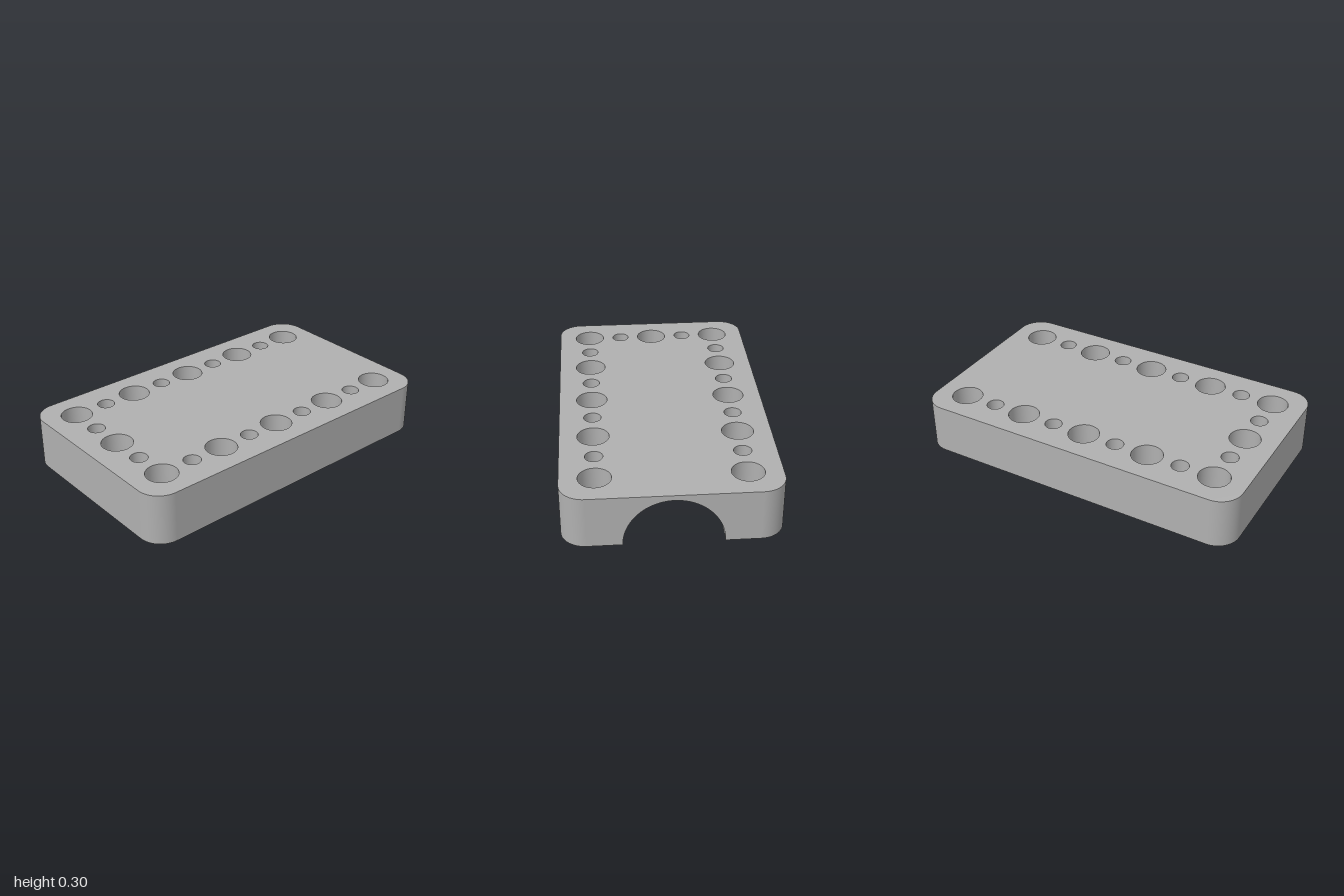
import * as THREE from 'three';

const W = 0.595, L = 1, H = 0.3;            // half width, half length, height
const CORNER = 0.135;                       // vertical corner radius
const CHANNEL_R = 0.27, CHANNEL_END = 0.665; // half-round channel underneath
const PITCH = 0.405, BIG = 0.09, SMALL = 0.05;

// Arc points [x, y, nx, ny]; side = 1 for outward normals, -1 for inward.
function arc(cx, cy, r, from, to, steps, side) {
  return Array.from({ length: steps + 1 }, (_, i) => {
    const t = from + (to - from) * i / steps, c = Math.cos(t), s = Math.sin(t);
    return [cx + r * c, cy + r * s, side * c, side * s];
  });
}

// Wall swept along +z from a path in the xy plane, with smooth normals.
function wall(path, depth) {
  const position = [], normal = [], index = [];
  path.forEach(([x, y, nx, ny], i) => {
    position.push(x, y, 0, x, y, depth);
    normal.push(nx, ny, 0, nx, ny, 0);
    if (i) {
      const a = 2 * i - 2, b = 2 * i;
      index.push(a, b, b + 1, a, b + 1, a + 1);
    }
  });
  const g = new THREE.BufferGeometry();
  g.setAttribute('position', new THREE.Float32BufferAttribute(position, 3));
  g.setAttribute('normal', new THREE.Float32BufferAttribute(normal, 3));
  g.setIndex(index);
  return g;
}

const toShape = (pts) => new THREE.Shape(pts.map(([x, y]) => new THREE.Vector2(x, y)));

export function createModel() {
  const model = new THREE.Group();
  const grey = new THREE.MeshStandardMaterial({ color: 0xb0b0b0 });
  grey.name = 'grey';
  const add = (name, geometry) => {
    const mesh = new THREE.Mesh(geometry, grey);
    mesh.name = name;
    model.add(mesh);
  };

  // Plan outline, drawn with the back at +y, open along the back edge
  const signs = [[-1, 1], [-1, -1], [1, -1], [1, 1]];
  const outline = signs.flatMap(([sx, sy], i) => arc(
    sx * (W - CORNER), sy * (L - CORNER), CORNER,
    (i + 1) * Math.PI / 2, (i + 2) * Math.PI / 2, 16, 1));

  // Holes alternate large and small along both sides and the front
  const holes = [];
  for (let i = 0; i <= 8; i++) {
    const y = (i - 4) * PITCH / 2, r = i % 2 ? SMALL : BIG;
    holes.push([-PITCH, y, r], [PITCH, y, r]);
  }
  for (let i = -1; i <= 1; i++) holes.push([i * PITCH / 2, -2 * PITCH, i ? SMALL : BIG]);
  const rims = holes.map(([x, y, r]) => arc(x, y, r, 2 * Math.PI, 0, 40, -1));
  const pierced = (pts) => {
    const shape = toShape(pts);
    shape.holes = rims.map((rim) => new THREE.Path(
      rim.slice(0, -1).map(([x, y]) => new THREE.Vector2(x, y))));
    return new THREE.ShapeGeometry(shape).rotateX(-Math.PI / 2);
  };

  // Top and bottom faces; the bottom is notched for the channel
  add('topFace', pierced(outline).translate(0, H, 0));
  const notch = [[CHANNEL_R, L], [CHANNEL_R, -CHANNEL_END], [-CHANNEL_R, -CHANNEL_END], [-CHANNEL_R, L]];
  add('bottomFace', pierced([...outline, ...notch]).rotateZ(Math.PI));

  // Rounded outer wall and hole walls
  add('outerWall', wall(outline, H).rotateX(-Math.PI / 2));
  rims.forEach((rim, i) => add(
    holes[i][2] === BIG ? 'largeHole' : 'smallHole', wall(rim, H).rotateX(-Math.PI / 2)));

  // Back wall with the arched opening
  const arch = arc(0, 0, CHANNEL_R, Math.PI, 0, 48, -1);
  const edge = W - CORNER;
  add('backWall', new THREE.ShapeGeometry(
    toShape([[-edge, 0], ...arch, [edge, 0], [edge, H], [-edge, H]]))
    .rotateY(Math.PI).translate(0, 0, -L));

  // Half-round channel and its closed front end
  add('channel', wall(arch, L + CHANNEL_END).translate(0, 0, -L));
  add('channelEnd', new THREE.CircleGeometry(CHANNEL_R, 48, 0, Math.PI)
    .rotateY(Math.PI).translate(0, 0, CHANNEL_END));

  return model;
}
